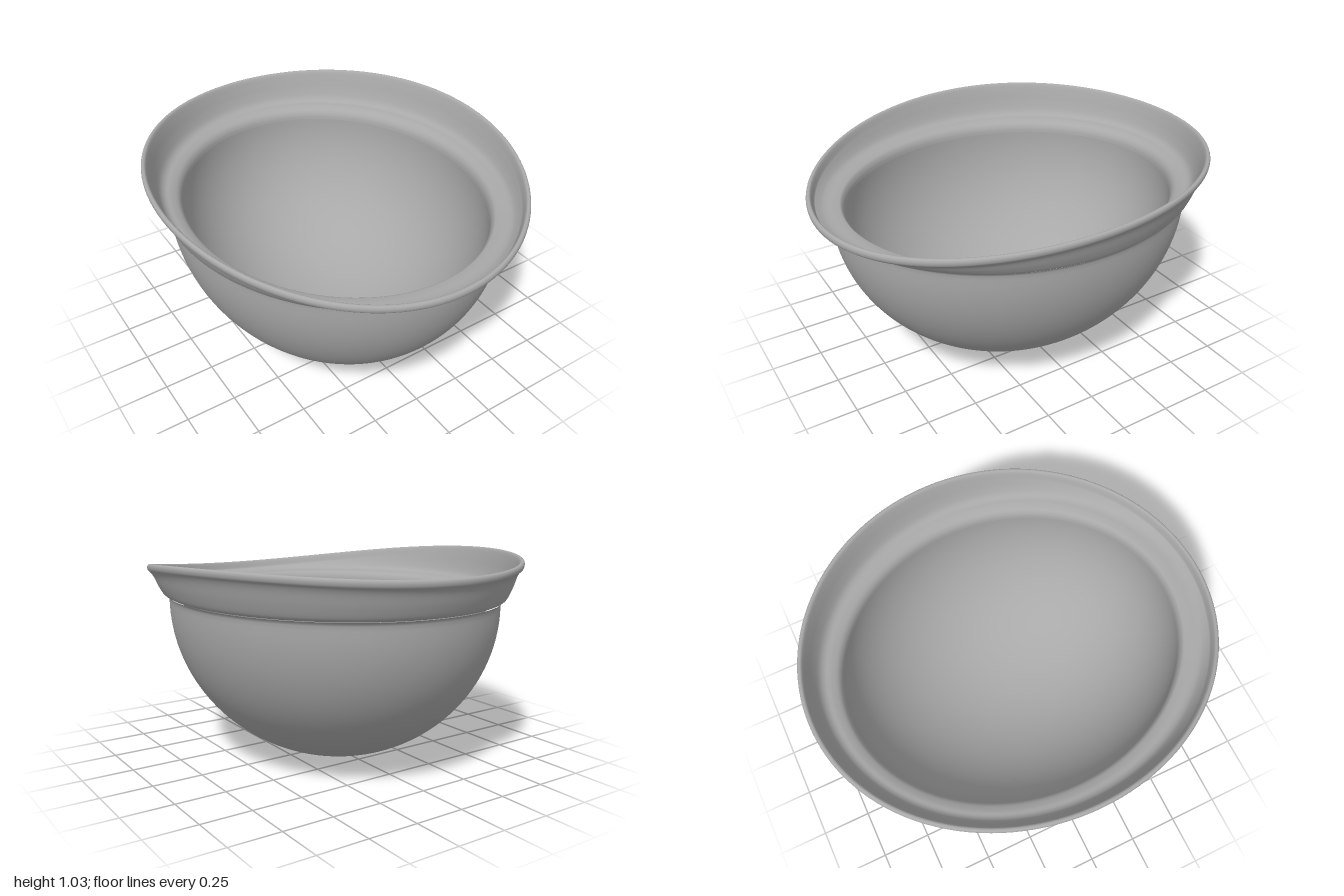
import * as THREE from 'three';
import { mergeVertices } from 'three/addons/utils/BufferGeometryUtils.js';

const SEGMENTS = 128;
const SEAM = 0.83; // height where the bowl meets the brim

// Height of the rim's top along z: low at the front, highest behind the middle
const rimHeight = (z) => 1.015 - 0.0575 * z - 0.0675 * z * z;

// Spin a profile, stretch it into an oval and optionally bend its rim
function ovalLathe(points, stretch, bend) {
  const geo = new THREE.LatheGeometry(points, SEGMENTS);
  geo.deleteAttribute('uv');
  geo.deleteAttribute('normal');
  const p = geo.attributes.position;
  for (let i = 0; i < p.count; i++) {
    const r = Math.hypot(p.getX(i), p.getZ(i));
    const z = p.getZ(i) * stretch(r);
    p.setZ(i, z);
    if (bend) {
      const y = p.getY(i);
      const share = THREE.MathUtils.clamp((y - SEAM) / 0.14, 0, 1);
      p.setY(i, y + share * (rimHeight(z) - rimHeight(0)));
    }
  }
  const merged = mergeVertices(geo, 1e-5);
  merged.computeVertexNormals();
  return merged;
}

// Quarter ellipse from the bottom pole up to its widest ring
function domeProfile(radius, bottom, top) {
  const points = [];
  for (let i = 0; i <= 40; i++) {
    const a = (i / 40) * Math.PI / 2;
    points.push(new THREE.Vector2(radius * Math.sin(a), top - (top - bottom) * Math.cos(a)));
  }
  return points;
}

export function createModel() {
  const group = new THREE.Group();
  const grey = new THREE.MeshStandardMaterial({ color: 0xa8a8a8 });
  grey.name = 'grey';
  const add = (name, geo) => {
    const mesh = new THREE.Mesh(geo, grey);
    mesh.name = name;
    group.add(mesh);
  };

  // Rounded outer bowl with a small fillet under the brim
  const outer = domeProfile(0.79, 0, 0.79);
  outer.push(new THREE.Vector2(0.791, 0.81), new THREE.Vector2(0.795, 0.822), new THREE.Vector2(0.805, 0.829));
  add('outerBowl', ovalLathe(outer, () => 0.9 / 0.79));

  // Flared brim: up the outside, over the rolled lip, down to the inner ledge
  const brim = new THREE.SplineCurve([
    [0.79, 0.828], [0.81, 0.834], [0.825, 0.85], [0.845, 0.895], [0.862, 0.945],
    [0.875, 0.97], [0.888, 0.984], [0.892, 1.0], [0.888, 1.012], [0.878, 1.015],
    [0.868, 1.005], [0.855, 0.965], [0.84, 0.915], [0.822, 0.873], [0.8, 0.853],
    [0.77, 0.846], [0.74, 0.832], [0.725, 0.81], [0.72, 0.785],
  ].map(([x, y]) => new THREE.Vector2(x, y))).getPoints(90);
  add('brim', ovalLathe(brim, (r) => (r + 0.11) / r, true));

  // Inside of the bowl, facing inward
  const inner = domeProfile(0.72, 0.07, 0.785).reverse();
  add('innerBowl', ovalLathe(inner, () => 0.83 / 0.72));

  return group;
}
